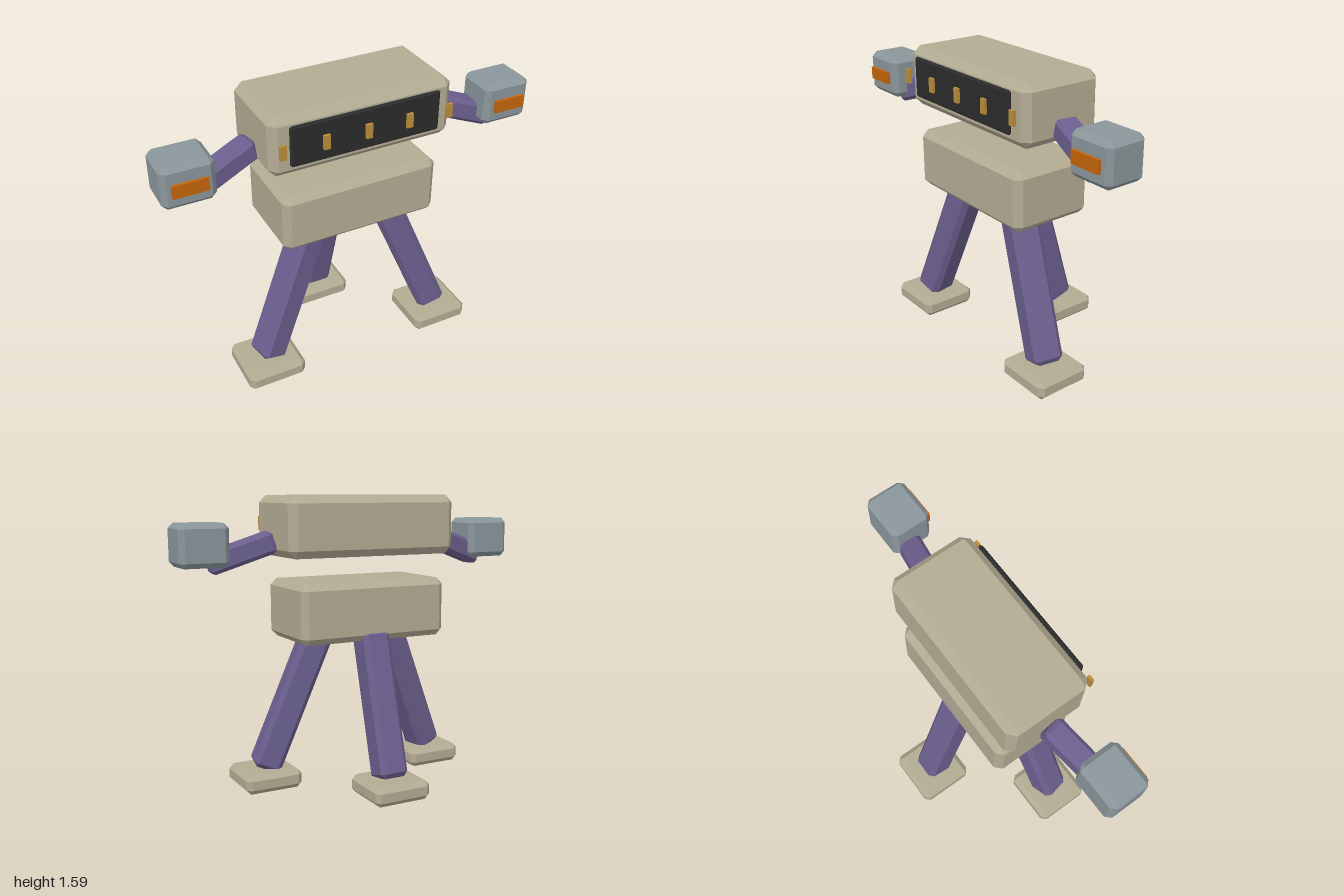
import * as THREE from 'three';
import { ConvexGeometry } from 'three/addons/geometries/ConvexGeometry.js';

const mat = (name, color) => {
  const m = new THREE.MeshStandardMaterial({ color });
  m.name = name;
  return m;
};

// Box with every edge bevelled by c
function chamferBox(w, h, d, c) {
  const points = [];
  for (const sx of [-1, 1]) for (const sy of [-1, 1]) for (const sz of [-1, 1]) {
    const x = w / 2, y = h / 2, z = d / 2;
    points.push(
      new THREE.Vector3(sx * x, sy * (y - c), sz * (z - c)),
      new THREE.Vector3(sx * (x - c), sy * y, sz * (z - c)),
      new THREE.Vector3(sx * (x - c), sy * (y - c), sz * z));
  }
  return new ConvexGeometry(points);
}

export function createModel() {
  const model = new THREE.Group();
  model.name = 'tripodRobot';

  const shell = mat('tanShell', 0xb3ab93);
  const limb = mat('purpleLimb', 0x6b5f8e);
  const metal = mat('greyMetal', 0x8a969b);
  const dark = mat('darkScreen', 0x2b2b2b);
  const amber = mat('amberLight', 0xbb8d3b);
  const orange = mat('orangePanel', 0xc4640c);

  const add = (name, geometry, material, x, y, z) => {
    const mesh = new THREE.Mesh(geometry, material);
    mesh.name = name;
    mesh.position.set(x, y, z);
    model.add(mesh);
    return mesh;
  };

  // Square bevelled beam running between two points
  const beam = (name, from, to, size, c) => {
    const a = new THREE.Vector3(...from), b = new THREE.Vector3(...to);
    const mid = a.clone().add(b).multiplyScalar(0.5);
    const mesh = add(name, chamferBox(size, size, a.distanceTo(b), c), limb, mid.x, mid.y, mid.z);
    mesh.lookAt(b);
  };

  // Head and hip blocks
  add('head', chamferBox(0.98, 0.32, 0.465, 0.04), shell, 0, 1.43, 0.128);
  add('hips', chamferBox(0.86, 0.32, 0.465, 0.035), shell, 0, 0.98, 0.128);

  // Face screen with a row of lights
  add('screen', chamferBox(0.8, 0.215, 0.024, 0.01), dark, 0, 1.442, 0.376);
  for (let i = -2; i <= 2; i++) {
    add('light', new THREE.BoxGeometry(0.033, 0.075, 0.016), amber, i * 0.2225, 1.438, 0.4);
  }

  // Arms, hands and front legs, mirrored
  for (const [side, s] of [['left', 1], ['right', -1]]) {
    beam(side + 'Arm', [s * 0.49, 1.355, 0.13], [s * 0.83, 1.238, 0.2], 0.12, 0.02);
    add(side + 'Hand', chamferBox(0.265, 0.225, 0.228, 0.027), metal, s * 0.8675, 1.34, 0.205);
    add(side + 'HandPanel', new THREE.BoxGeometry(0.175, 0.067, 0.016), orange, s * 0.8675, 1.338, 0.332);
    beam(side + 'Leg', [s * 0.21, 0.86, 0.187], [s * 0.518, 0.1, 0.25], 0.16, 0.025);
    add(side + 'Foot', chamferBox(0.325, 0.105, 0.315, 0.027), shell, s * 0.514, 0.0525, 0.25);
  }

  // Rear leg
  beam('rearLeg', [0, 0.86, -0.028], [0, 0.1, -0.247], 0.16, 0.025);
  add('rearFoot', chamferBox(0.325, 0.105, 0.315, 0.027), shell, 0, 0.0525, -0.25);

  return model;
}
